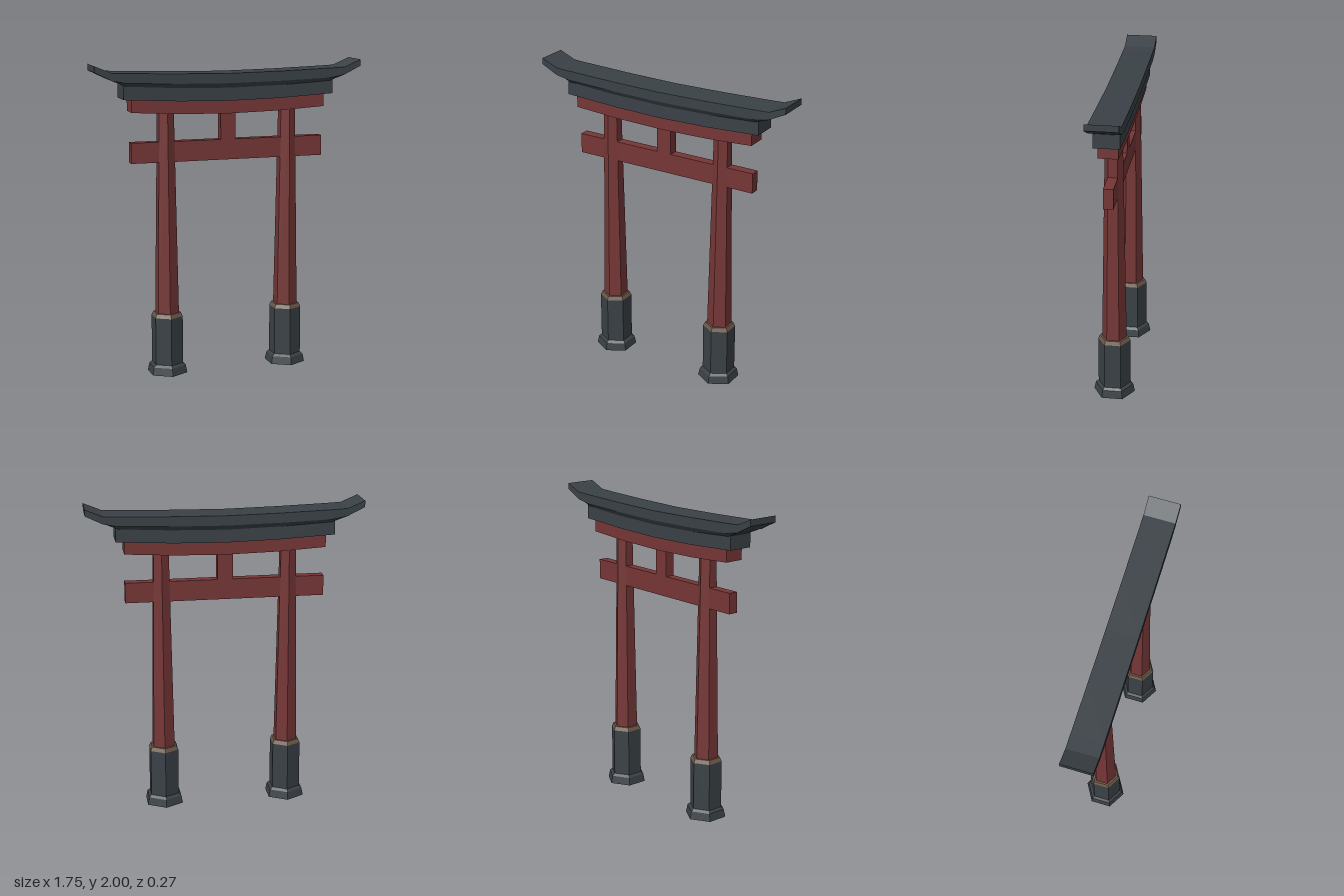
import * as THREE from 'three';

const paint = (color) => new THREE.MeshStandardMaterial({ color, flatShading: true });

// Skin a row of [x, ring] sections; each ring is [y, z] points, counter-clockwise seen from +x
function loft(sections) {
  const pos = [];
  const put = (s, k) => {
    const ring = s[1];
    const [y, z] = ring[k % ring.length];
    pos.push(s[0], y, z);
  };
  const n = sections[0][1].length;
  for (let i = 0; i < sections.length - 1; i++) {
    const a = sections[i], b = sections[i + 1];
    for (let k = 0; k < n; k++) {
      put(a, k); put(a, k + 1); put(b, k);
      put(a, k + 1); put(b, k + 1); put(b, k);
    }
  }
  const first = sections[0], last = sections[sections.length - 1];
  for (let k = 1; k < n - 1; k++) {
    put(first, 0); put(first, k + 1); put(first, k);
    put(last, 0); put(last, k); put(last, k + 1);
  }
  const geo = new THREE.BufferGeometry();
  geo.setAttribute('position', new THREE.Float32BufferAttribute(pos, 3));
  geo.computeVertexNormals();
  return geo;
}

// Mirror rows listed from the centre outwards to the -x side
const mirrored = (rows) => [...rows.slice(1).reverse().map(([x, ...r]) => [-x, ...r]), ...rows];

// Gently sagging rectangular beam: rows of [x, bottom, top]
const saggingBeam = (rows, d) => loft(mirrored(rows).map(([x, b, t]) =>
  [x, [[t, -d], [t, d], [b, d], [b, -d]]]));

export function createModel() {
  const model = new THREE.Group();
  const red = paint(0x763636), dark = paint(0x3a4146), tan = paint(0x6b5847);
  const add = (name, geo, mat, parent = model, x = 0, y = 0, z = 0) => {
    const mesh = new THREE.Mesh(geo, mat);
    mesh.name = name;
    mesh.position.set(x, y, z);
    parent.add(mesh);
    return mesh;
  };

  // Hexagonal pillars with flared feet
  const footProfile = [[0, 0], [0.133, 0], [0.122, 0.05], [0.104, 0.065], [0.104, 0.375]]
    .map(([r, y]) => new THREE.Vector2(r, y));
  for (const side of [-1, 1]) {
    const pillar = new THREE.Group();
    pillar.name = side > 0 ? 'leftPillar' : 'rightPillar';
    pillar.position.x = side * 0.405;
    add('foot', new THREE.LatheGeometry(footProfile, 6), dark, pillar);
    add('collar', new THREE.CylinderGeometry(0.092, 0.104, 0.025, 6), tan, pillar, 0, 0.3875);
    add('post', new THREE.CylinderGeometry(0.055, 0.079, 1.32, 6), red, pillar, 0, 1.06);
    model.add(pillar);
  }

  // Tie beam and centre strut
  add('tieBeam', new THREE.BoxGeometry(1.27, 0.13, 0.062), red, model, 0, 1.445);
  add('centreStrut', new THREE.BoxGeometry(0.1, 0.2, 0.062), red, model, 0, 1.6);

  // Stacked curved lintels
  add('lowerLintel', saggingBeam([[0, 1.678, 1.77], [0.33, 1.685, 1.78], [0.637, 1.703, 1.79]], 0.062), red);
  add('upperLintel', saggingBeam([[0, 1.76, 1.85], [0.33, 1.767, 1.86], [0.69, 1.786, 1.875]], 0.08), dark);

  // Roof beam with bevelled underside and upturned tips: [x, top, fascia bottom, bevel bottom]
  const roofRows = [
    [0, 1.934, 1.872, 1.842],
    [0.35, 1.94, 1.878, 1.85],
    [0.67, 1.95, 1.889, 1.868],
    [0.765, 1.954, 1.906, 1.906],
    [0.875, 2.0, 1.96, 1.96],
  ];
  add('roofBeam', loft(mirrored(roofRows).map(([x, t, f, b]) =>
    [x, [[t, -0.1], [t, 0.1], [f, 0.1], [b, 0.08], [b, -0.08], [f, -0.1]]])), dark);

  return model;
}
